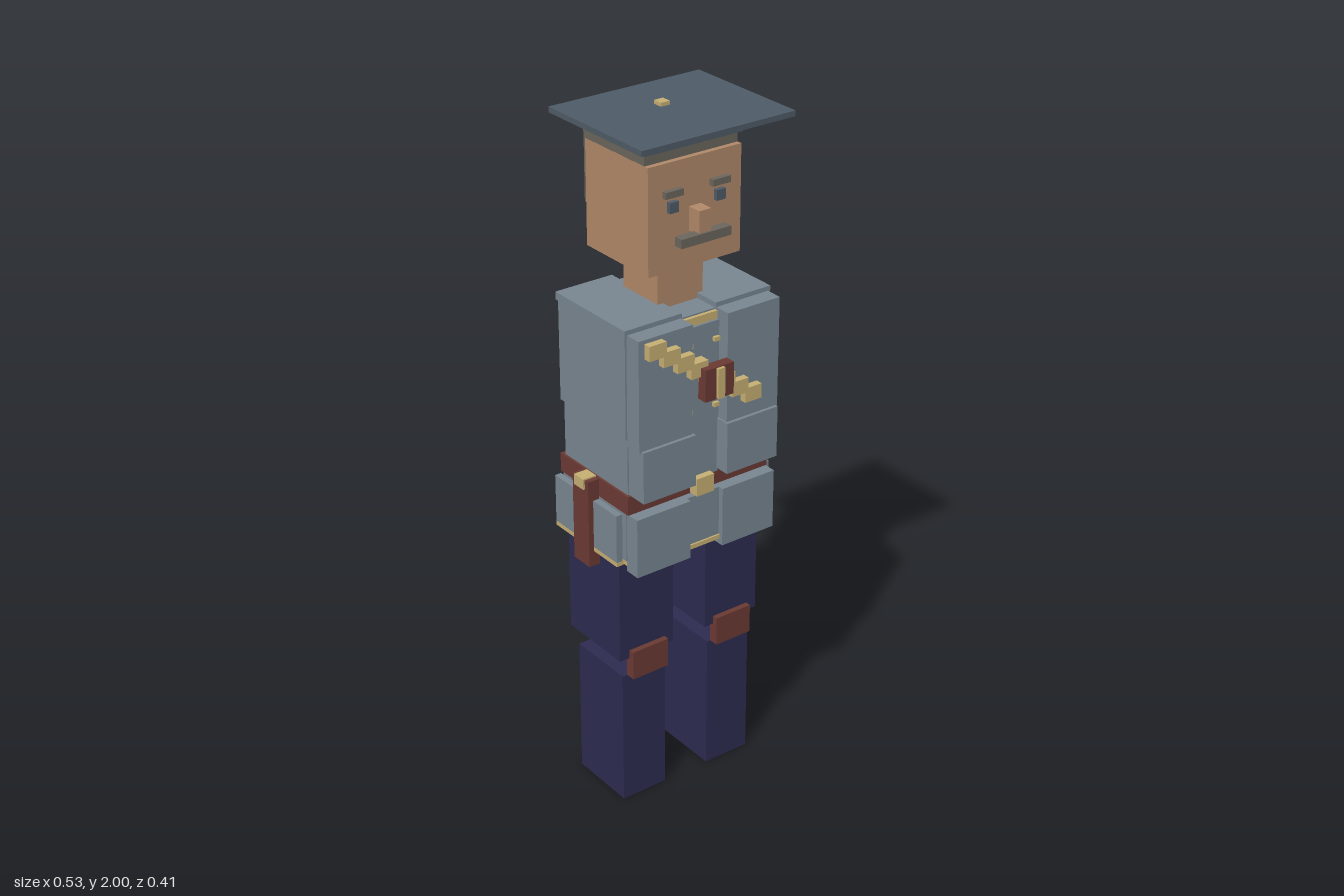
import * as THREE from 'three';

export function createModel() {
  const root = new THREE.Group();
  root.name = 'officerFigure';
  const mat = (name, color) => {
    const m = new THREE.MeshStandardMaterial({ color });
    m.name = name;
    return m;
  };
  const coat = mat('coatGrey', 0x7a8792), navy = mat('trouserNavy', 0x2d2c52);
  const cap = mat('capSlate', 0x4f5c68), skin = mat('skin', 0xb38a6a);
  const brown = mat('leatherBrown', 0x6c3a34), gold = mat('gold', 0xc8b174);
  const hair = mat('hairGrey', 0x6c675e);

  const CX = 0.0095; // symmetry axis of the body

  // Box given by its limits on each axis
  function box(name, m, x0, x1, y0, y1, z0, z1) {
    const mesh = new THREE.Mesh(new THREE.BoxGeometry(x1 - x0, y1 - y0, z1 - z0), m);
    mesh.position.set((x0 + x1) / 2, (y0 + y1) / 2, (z0 + z1) / 2);
    mesh.name = name;
    root.add(mesh);
  }
  // Box centred on the body axis, with half width w
  const mid = (name, m, w, ...yz) => box(name, m, CX - w, CX + w, ...yz);
  // Mirrored pair, from a to b away from the body axis
  function pair(name, m, a, b, ...yz) {
    box(name + 'Left', m, CX + a, CX + b, ...yz);
    box(name + 'Right', m, CX - b, CX - a, ...yz);
  }

  // Flat-topped cap with button and tassel
  mid('capBoard', cap, 0.2375, 1.975, 1.99, -0.207, 0.187);
  mid('capBase', cap, 0.152, 1.925, 1.976, -0.192, 0.085);
  mid('capButton', gold, 0.014, 1.99, 2.0, -0.065, -0.036);
  box('tassel', gold, 0.161, 0.181, 1.89, 1.975, -0.058, -0.037);

  // Head, hair and face
  mid('hairBand', hair, 0.146, 1.893, 1.926, -0.188, 0.072);
  mid('hairBack', hair, 0.144, 1.72, 1.9, -0.19, -0.175);
  mid('head', skin, 0.1465, 1.602, 1.895, -0.18, 0.087);
  mid('neck', skin, 0.073, 1.47, 1.605, -0.122, 0.027);
  pair('brow', hair, 0.046, 0.102, 1.806, 1.824, 0.085, 0.102);
  pair('eye', cap, 0.06, 0.088, 1.764, 1.793, 0.085, 0.1);
  mid('nose', skin, 0.019, 1.7, 1.765, 0.085, 0.13);
  pair('moustache', hair, 0, 0.079, 1.68, 1.705, 0.108, 0.136);
  mid('mouth', cap, 0.032, 1.662, 1.682, 0.085, 0.097);

  // Torso, shoulder pads and coat front
  mid('upperTorso', coat, 0.233, 1.175, 1.472, -0.193, 0.103);
  mid('lowerTorso', coat, 0.226, 1.0, 1.176, -0.186, 0.1);
  pair('shoulderPad', coat, 0.055, 0.236, 1.465, 1.487, -0.2, 0.106);
  pair('chestPanel', coat, 0.057, 0.228, 1.155, 1.474, 0.1, 0.155);
  pair('bellyPanel', coat, 0.052, 0.222, 1.01, 1.16, 0.1, 0.165);
  mid('frontPlacket', coat, 0.056, 1.0, 1.445, 0.09, 0.12);
  mid('collarTrim', gold, 0.055, 1.445, 1.468, 0.09, 0.113);
  for (const y of [1.2, 1.3, 1.39]) pair('coatButton', gold, 0.035, 0.052, y, y + 0.012, 0.115, 0.13);

  // Diagonal stepped sash with its pouch
  for (let i = 0; i < 8; i++) {
    const x = -0.2 + i * 0.0445, y = 1.463 - i * 0.03;
    box('sashStep', gold, x, x + 0.054, y - 0.042, y, 0.145, 0.176);
  }
  mid('pouch', brown, 0.046, 1.265, 1.356, 0.165, 0.196);
  mid('pouchClasp', gold, 0.011, 1.268, 1.354, 0.17, 0.205);

  // Belt and buckle
  mid('belt', brown, 0.233, 0.955, 1.01, -0.2, 0.11);
  mid('beltBuckle', gold, 0.029, 0.957, 1.009, 0.1, 0.14);

  // Coat skirt with gold hem
  mid('skirt', coat, 0.232, 0.81, 0.955, -0.19, 0.1);
  mid('skirtHem', gold, 0.232, 0.797, 0.81, -0.191, 0.101);
  pair('skirtFlap', coat, 0.238, 0.257, 0.81, 0.952, -0.193, 0.09);
  pair('flapHem', gold, 0.236, 0.257, 0.797, 0.81, -0.194, 0.09);
  pair('skirtFrontPanel', coat, 0.054, 0.23, 0.78, 0.955, 0.098, 0.146);
  mid('skirtCentre', coat, 0.054, 0.81, 0.955, 0.09, 0.13);
  mid('skirtCentreHem', gold, 0.054, 0.797, 0.81, 0.09, 0.135);

  // Coat tails behind the thighs
  pair('coatTail', coat, 0.036, 0.212, 0.49, 0.752, -0.174, -0.15);
  pair('tailHem', gold, 0.036, 0.212, 0.476, 0.49, -0.174, -0.15);

  // Legs
  pair('thigh', navy, 0.056, 0.236, 0.478, 0.8, -0.166, 0.07);
  pair('kneeStrap', brown, 0.085, 0.204, 0.416, 0.503, 0.057, 0.087);
  pair('shin', navy, 0.074, 0.22, 0, 0.416, -0.15, 0.058);

  // Scabbard on the right hip
  box('scabbard', brown, -0.263, -0.228, 0.752, 1.012, -0.086, -0.015);
  box('swordGrip', gold, -0.268, -0.226, 0.985, 1.016, -0.072, -0.03);
  return root;
}
